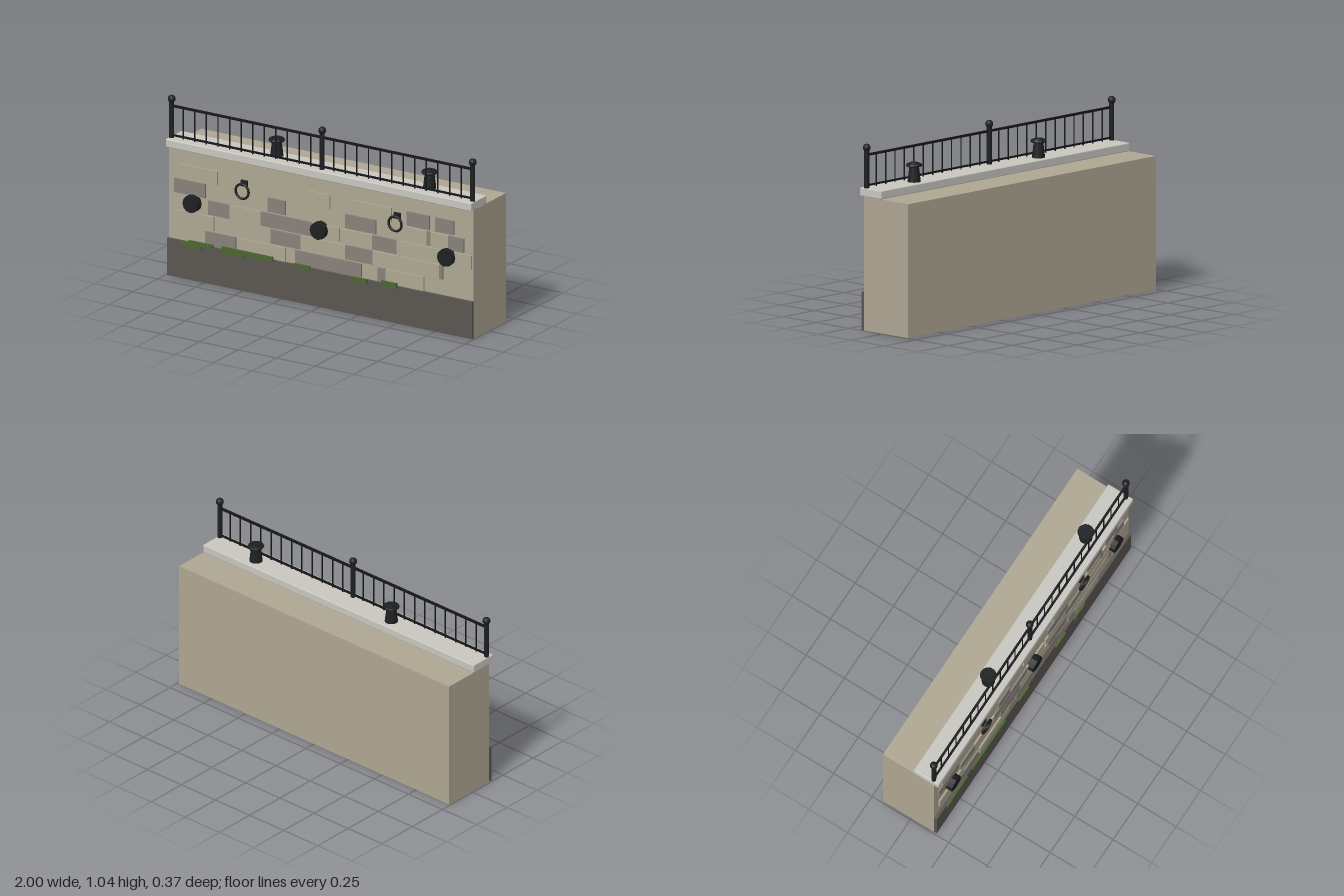
import * as THREE from 'three';
import { RoundedBoxGeometry } from 'three/addons/geometries/RoundedBoxGeometry.js';

const paint = (name, color) => {
  const m = new THREE.MeshStandardMaterial({ color });
  m.name = name;
  return m;
};

export function createModel() {
  const model = new THREE.Group();
  model.name = 'quayWall';

  const wallStone = paint('wallStone', 0xaea692);
  const darkStone = paint('darkStone', 0x87827a);
  const plinthStone = paint('plinthStone', 0x5a5551);
  const copingStone = paint('copingStone', 0xc8c6bf);
  const iron = paint('iron', 0x1d1f21);
  const railIron = paint('railIron', 0x161719);
  const moss = paint('moss', 0x4b6630);

  const add = (name, geo, mat, x, y, z, parent = model) => {
    const mesh = new THREE.Mesh(geo, mat);
    mesh.name = name;
    mesh.position.set(x, y, z);
    parent.add(mesh);
    return mesh;
  };
  // Box given by its limits on each axis
  const slab = (name, mat, x0, x1, y0, y1, z0, z1, parent) =>
    add(name, new THREE.BoxGeometry(x1 - x0, y1 - y0, z1 - z0), mat,
      (x0 + x1) / 2, (y0 + y1) / 2, (z0 + z1) / 2, parent);
  // Faceted version of a round geometry
  const faceted = (geo) => {
    const g = geo.toNonIndexed();
    g.computeVertexNormals();
    return g;
  };
  const group = (name) => {
    const g = new THREE.Group();
    g.name = name;
    model.add(g);
    return g;
  };

  // Masonry body, dark plinth and coping
  slab('wall', wallStone, -0.99, 0.99, 0, 0.747, -0.185, 0.147);
  slab('plinth', plinthStone, -0.99, 0.99, 0, 0.215, 0.147, 0.165);
  add('coping', new RoundedBoxGeometry(1.986, 0.048, 0.163, 2, 0.006), copingStone, 0, 0.771, 0.0965);

  // Raised facing stones: rows from the bottom, [x0, x1, isDark]
  const rows = [
    [[-0.75, -0.55, 1], [-0.535, -0.23, 0], [-0.165, 0.265, 1], [0.37, 0.425, 1], [0.425, 0.67, 0]],
    [[-0.945, -0.695, 0], [-0.325, -0.13, 1], [-0.13, 0.16, 0], [0.16, 0.34, 1], [0.34, 0.77, 0], [0.77, 0.795, 1]],
    [[-0.73, -0.59, 1], [-0.59, -0.39, 0], [-0.39, -0.055, 1], [-0.055, 0.12, 0], [0.135, 0.335, 0],
      [0.335, 0.495, 1], [0.495, 0.98, 0]],
    [[-0.95, -0.75, 1], [-0.345, -0.23, 1], [0.16, 0.36, 1], [0.55, 0.69, 0], [0.69, 0.715, 1],
      [0.715, 0.83, 0], [0.83, 0.93, 1]],
    [[-0.92, -0.67, 0], [-0.09, 0.06, 0], [0.21, 0.46, 0], [0.56, 0.705, 1], [0.745, 0.865, 1]],
  ];
  const stones = group('facingStones');
  rows.forEach((row, r) => {
    const y = 0.217 + r * 0.0905;
    for (const [x0, x1, dark] of row)
      slab('stone', dark ? darkStone : wallStone, x0, x1, y, y + 0.081, 0.147, 0.157, stones);
  });

  // Moss along the top of the plinth
  const mossPatches = group('moss');
  for (const [x0, x1, y0, y1] of [
    [-0.89, -0.765, 0.19, 0.22], [-0.845, -0.69, 0.21, 0.232], [-0.63, -0.30, 0.21, 0.236],
    [-0.63, -0.49, 0.197, 0.21], [-0.16, -0.06, 0.205, 0.228], [0.215, 0.31, 0.193, 0.221],
    [0.405, 0.505, 0.203, 0.235],
  ]) slab('mossPatch', moss, x0, x1, y0, y1, 0.165, 0.176, mossPatches);

  // Round fenders
  const fenderGeo = faceted(new THREE.CylinderGeometry(0.05, 0.05, 0.041, 12).rotateX(Math.PI / 2));
  for (const x of [-0.827, 0, 0.827]) add('fender', fenderGeo, iron, x, 0.448, 0.1675);

  // Mooring rings with their brackets
  const ringGeo = new THREE.TorusGeometry(0.042, 0.007, 8, 24);
  for (const x of [-0.497, 0.497]) {
    add('mooringRing', ringGeo, iron, x, 0.582, 0.175);
    slab('ringBracket', iron, x - 0.02, x + 0.02, 0.607, 0.64, 0.147, 0.162);
  }

  // Bollards
  const profile = [[0, 0], [0.037, 0], [0.027, 0.083], [0.042, 0.086], [0.046, 0.092], [0.042, 0.1],
    [0.028, 0.1], [0.026, 0.107], [0, 0.107]].map(([x, y]) => new THREE.Vector2(x, y));
  const bollardGeo = faceted(new THREE.LatheGeometry(profile, 14));
  for (const x of [-0.332, 0.661]) add('bollard', bollardGeo, iron, x, 0.795, 0.08);

  // Railing: posts with ball finials, two rails, slim balusters
  const railing = group('railing');
  const zRail = 0.138;
  const postGeo = faceted(new THREE.CylinderGeometry(0.014, 0.014, 0.22, 8));
  const ballGeo = new THREE.SphereGeometry(0.022, 14, 10);
  for (const x of [-0.978, 0, 0.978]) {
    add('post', postGeo, iron, x, 0.9, zRail, railing);
    add('finial', ballGeo, iron, x, 1.02, zRail, railing);
  }
  for (const [y, h] of [[0.98, 0.012], [0.81, 0.009]])
    slab('rail', railIron, -0.978, 0.978, y - h / 2, y + h / 2, zRail - 0.006, zRail + 0.006, railing);
  const barGeo = new THREE.CylinderGeometry(0.004, 0.004, 0.18, 6);
  for (let i = 1; i < 26; i++)
    if (i !== 13) add('baluster', barGeo, railIron, -0.978 + i * 0.978 / 13, 0.887, zRail, railing);

  return model;
}
